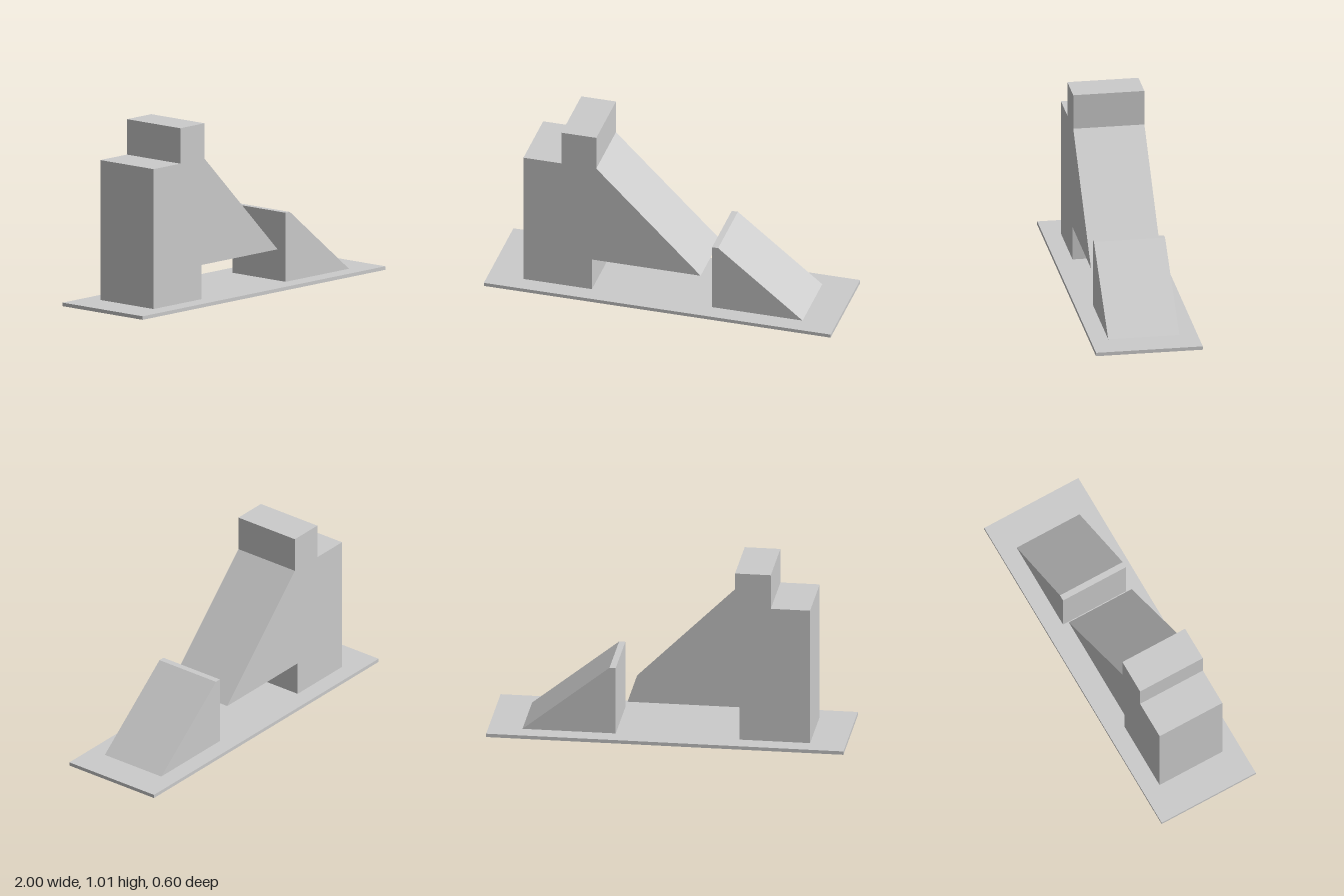
import * as THREE from 'three';

const material = new THREE.MeshStandardMaterial({ color: 0xcccccc, flatShading: true });
const BASE_HEIGHT = 0.02;
const DEPTH = 0.4;

// Extrudes a side profile (x, y) through the depth, centred on z = 0
function profileBlock(name, points) {
  const shape = new THREE.Shape(points.map(([x, y]) => new THREE.Vector2(x, y)));
  const geometry = new THREE.ExtrudeGeometry(shape, { depth: DEPTH, bevelEnabled: false });
  geometry.translate(0, 0, -DEPTH / 2);
  const mesh = new THREE.Mesh(geometry, material);
  mesh.name = name;
  return mesh;
}

export function createModel() {
  const model = new THREE.Group();
  model.name = 'rampModel';

  // Thin ground plate
  const base = new THREE.Mesh(new THREE.BoxGeometry(2, BASE_HEIGHT, 0.6), material);
  base.name = 'basePlate';
  base.position.y = BASE_HEIGHT / 2;
  model.add(base);

  // Tower with a raised top block and an overhanging slope
  model.add(profileBlock('towerWithSlope', [
    [-0.8, BASE_HEIGHT], [-0.405, BASE_HEIGHT], [-0.405, 0.213], [0.222, 0.213],
    [-0.38, 0.81], [-0.38, 1.01], [-0.58, 1.01], [-0.58, 0.81], [-0.8, 0.81],
  ]));

  // Landing wedge with a narrow flat crest
  model.add(profileBlock('landingWedge', [
    [0.288, BASE_HEIGHT], [0.81, BASE_HEIGHT], [0.323, 0.41], [0.288, 0.41],
  ]));

  return model;
}
